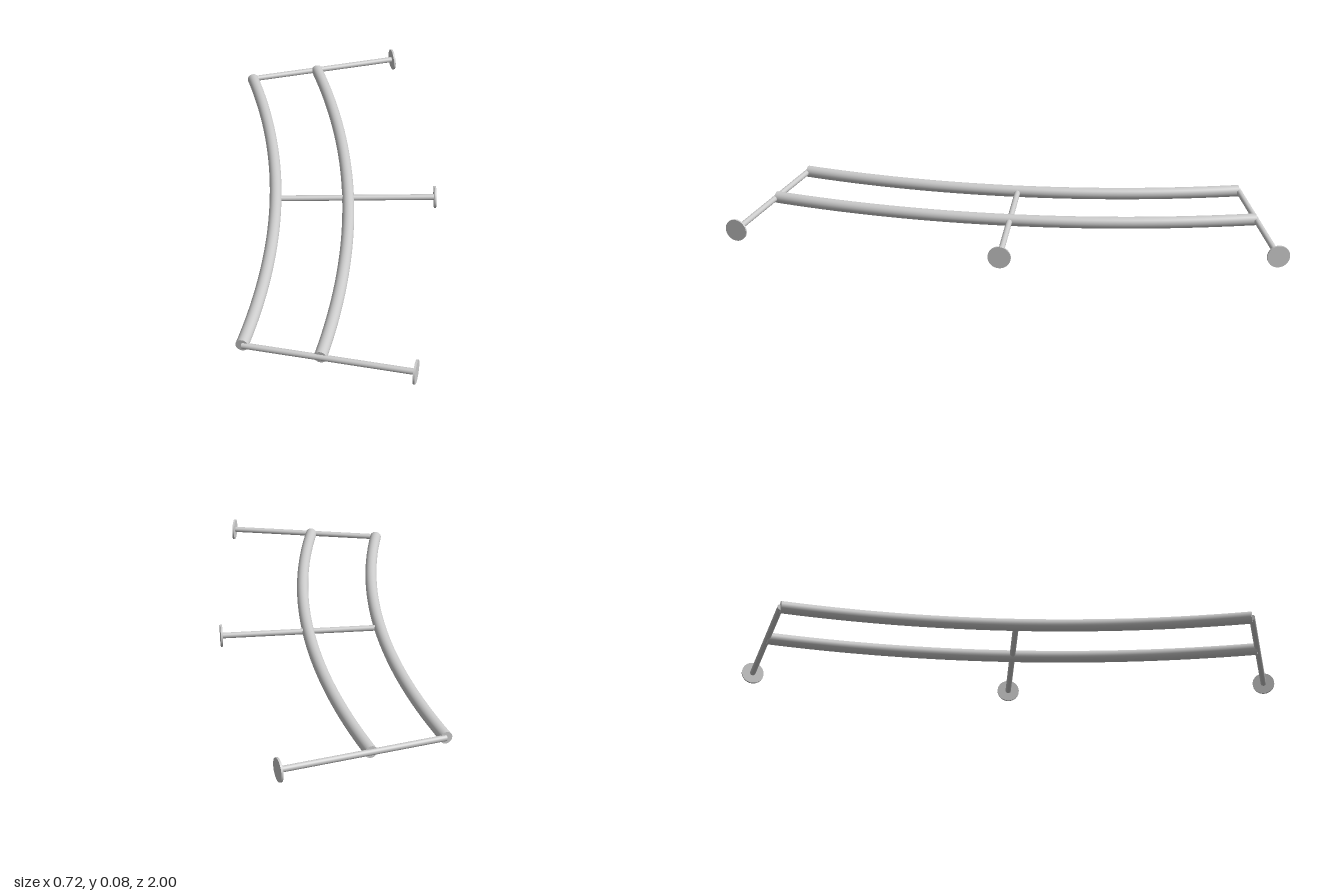
import * as THREE from 'three';

// Plan: two concentric curved rails crossed by three radial bars with end discs.
const CENTRE = new THREE.Vector3(-3.622, 0.0408, 0.08);
const BACK = THREE.MathUtils.degToRad(-15.15);
const FRONT = THREE.MathUtils.degToRad(12.75);
const INNER_R = 3.4, OUTER_R = 3.663, DISC_R = 3.982;
const RAIL = 0.0215, BAR = 0.0105, DISC = 0.0405, DISC_T = 0.007;

const material = new THREE.MeshStandardMaterial({ color: 0xcccccc });

function part(geometry, name) {
  const mesh = new THREE.Mesh(geometry, material);
  mesh.name = name;
  return mesh;
}

// Curved tube with flat caps at both ends
function makeRail(radius, name) {
  const rail = new THREE.Group();
  rail.name = name;
  const tube = part(new THREE.TorusGeometry(radius, RAIL, 24, 48, FRONT - BACK), name + 'Tube');
  tube.rotation.set(Math.PI / 2, 0, BACK);
  rail.add(tube);
  for (const [angle, turn] of [[BACK, Math.PI], [FRONT, 0]]) {
    const cap = part(new THREE.CircleGeometry(RAIL, 24), name + 'Cap');
    cap.position.set(radius * Math.cos(angle), 0, radius * Math.sin(angle));
    cap.rotation.y = turn - angle;
    rail.add(cap);
  }
  return rail;
}

// Straight bar pointing away from the centre, with a mounting disc on its end
function makeBracket(angle, name) {
  const bracket = new THREE.Group();
  bracket.name = name;
  bracket.rotation.y = -angle;
  const length = DISC_R - DISC_T - INNER_R;
  const bar = part(new THREE.CylinderGeometry(BAR, BAR, length, 20), name + 'Bar');
  bar.position.x = INNER_R + length / 2;
  const disc = part(new THREE.CylinderGeometry(DISC, DISC, DISC_T, 32), name + 'Disc');
  disc.position.x = DISC_R - DISC_T / 2;
  for (const m of [bar, disc]) {
    m.rotation.z = -Math.PI / 2;
    bracket.add(m);
  }
  return bracket;
}

export function createModel() {
  const model = new THREE.Group();
  model.name = 'curvedWallRail';
  const frame = new THREE.Group();
  frame.name = 'frame';
  frame.position.copy(CENTRE);
  frame.add(
    makeRail(INNER_R, 'innerRail'),
    makeRail(OUTER_R, 'outerRail'),
    makeBracket(BACK, 'backBracket'),
    makeBracket((BACK + FRONT) / 2, 'middleBracket'),
    makeBracket(FRONT, 'frontBracket'),
  );
  model.add(frame);
  return model;
}
